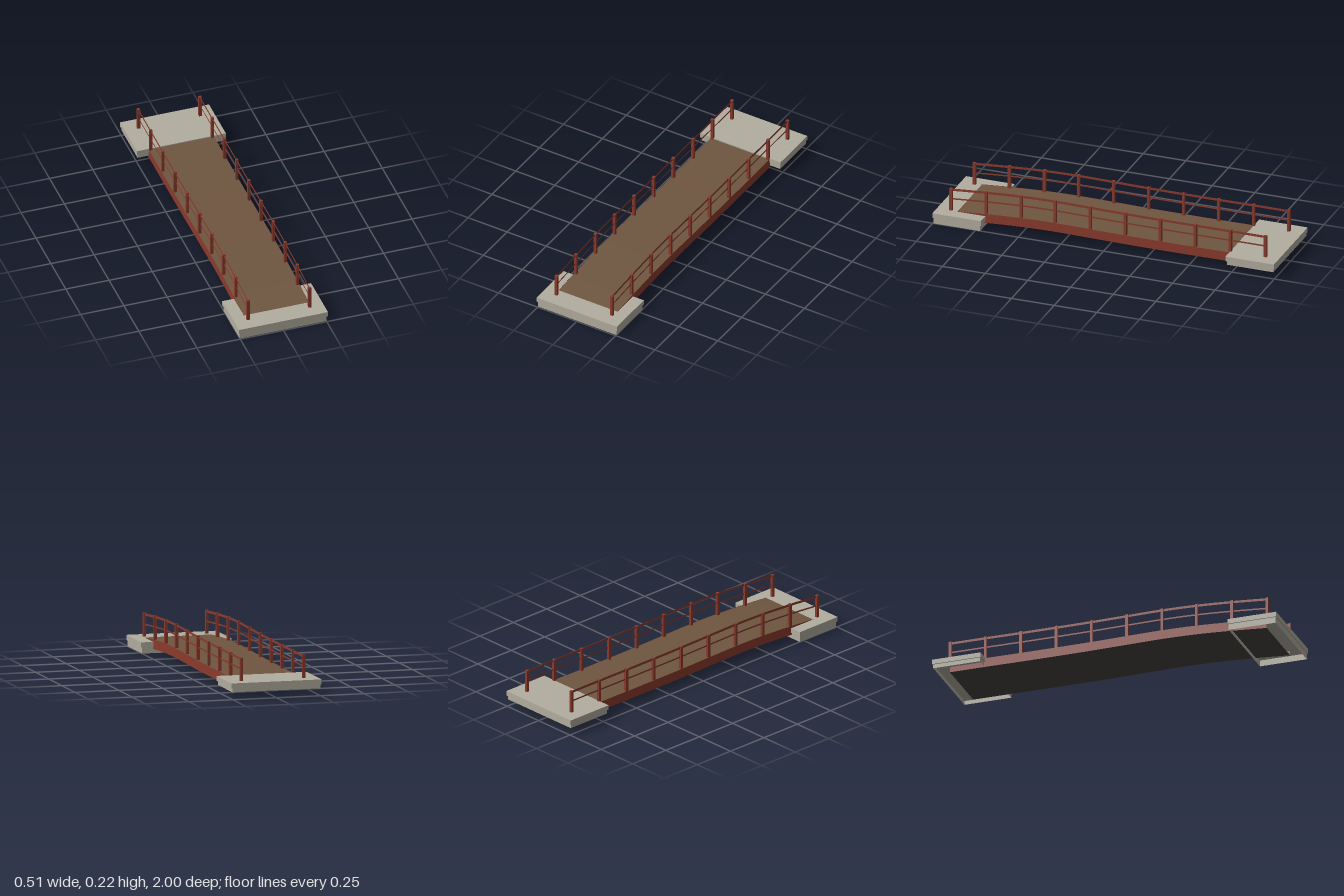
import * as THREE from 'three';

const material = (name, color, side = THREE.FrontSide) => {
  const m = new THREE.MeshStandardMaterial({ color, side });
  m.name = name;
  return m;
};

// Deck height along the bridge: a gentle crest towards the front
const profile = new THREE.CatmullRomCurve3([
  [0.06, 0.92], [0.075, 0.715], [0.086, 0.51], [0.0895, 0.31], [0.087, 0.105],
  [0.084, -0.1], [0.083, -0.305], [0.083, -0.51], [0.084, -0.715], [0.084, -0.92],
].map(([y, z]) => new THREE.Vector3(0, y, z)));
const SPANS = 9, STEPS = 36;

// Ribbon following the deck between two (x, height above deck) edges
function ribbon([xa, ya], [xb, yb]) {
  const positions = [], index = [];
  for (let i = 0; i <= STEPS; i++) {
    const p = profile.getPoint(i / STEPS);
    positions.push(xa, p.y + ya, p.z, xb, p.y + yb, p.z);
    if (i < STEPS) {
      const k = i * 2;
      index.push(k, k + 1, k + 2, k + 1, k + 3, k + 2);
    }
  }
  const g = new THREE.BufferGeometry();
  g.setAttribute('position', new THREE.Float32BufferAttribute(positions, 3));
  g.setIndex(index);
  g.computeVertexNormals();
  return g;
}

export function createModel() {
  const model = new THREE.Group();
  model.name = 'footbridge';
  const concrete = material('concrete', 0xb2ad9f, THREE.DoubleSide);
  const redPaint = material('red paint', 0x8b3a2c, THREE.DoubleSide);
  const planks = material('brown planks', 0x6f5640);
  const underside = material('dark underside', 0x454340);

  const add = (name, geometry, mat, x = 0, y = 0, z = 0, parent = model) => {
    const mesh = new THREE.Mesh(geometry, mat);
    mesh.name = name;
    mesh.position.set(x, y, z);
    parent.add(mesh);
    return mesh;
  };

  // Deck surface and closed underside
  const half = 0.188, depth = 0.052;
  add('deck', ribbon([-half, 0], [half, 0]), planks);
  add('deckUnderside', ribbon([half, -depth], [-half, -depth]), underside);

  // Girders, posts and thin rails on both sides
  for (const s of [-1, 1]) {
    const side = new THREE.Group();
    side.name = s > 0 ? 'leftRailing' : 'rightRailing';
    model.add(side);
    const strip = (name, x, low, high) => add(name,
      s > 0 ? ribbon([x, high], [x, low]) : ribbon([-x, low], [-x, high]),
      redPaint, 0, 0, 0, side);
    strip('girder', half, -depth, 0.001);
    strip('topRail', 0.178, 0.118, 0.132);
    strip('middleRail', 0.178, 0.066, 0.075);
    const postGeometry = new THREE.BoxGeometry(0.016, 0.133, 0.016);
    for (let i = 0; i <= SPANS; i++) {
      const p = profile.getPoint(i / SPANS);
      add('post', postGeometry, redPaint, s * 0.178, p.y + 0.0665, p.z, side);
    }
  }

  // Abutments: a cap slab on a hollow base that is open below
  const abutment = (name, z, bottom, step, top) => {
    const group = new THREE.Group();
    group.name = name;
    model.add(group);
    add('capSlab', new THREE.BoxGeometry(0.514, top - step, 0.284), concrete, 0, (top + step) / 2, z, group);
    const h = step - bottom, y = (step + bottom) / 2;
    for (const s of [-1, 1]) {
      const sideWall = add('baseSideWall', new THREE.PlaneGeometry(0.272, h), concrete, s * 0.251, y, z, group);
      sideWall.rotation.y = s * Math.PI / 2;
      const endWall = add('baseEndWall', new THREE.PlaneGeometry(0.502, h), concrete, 0, y, z + s * 0.136, group);
      if (s < 0) endWall.rotation.y = Math.PI;
    }
  };
  abutment('frontAbutment', 0.858, 0, 0.035, 0.063);
  abutment('backAbutment', -0.858, 0.04, 0.063, 0.09);

  return model;
}
